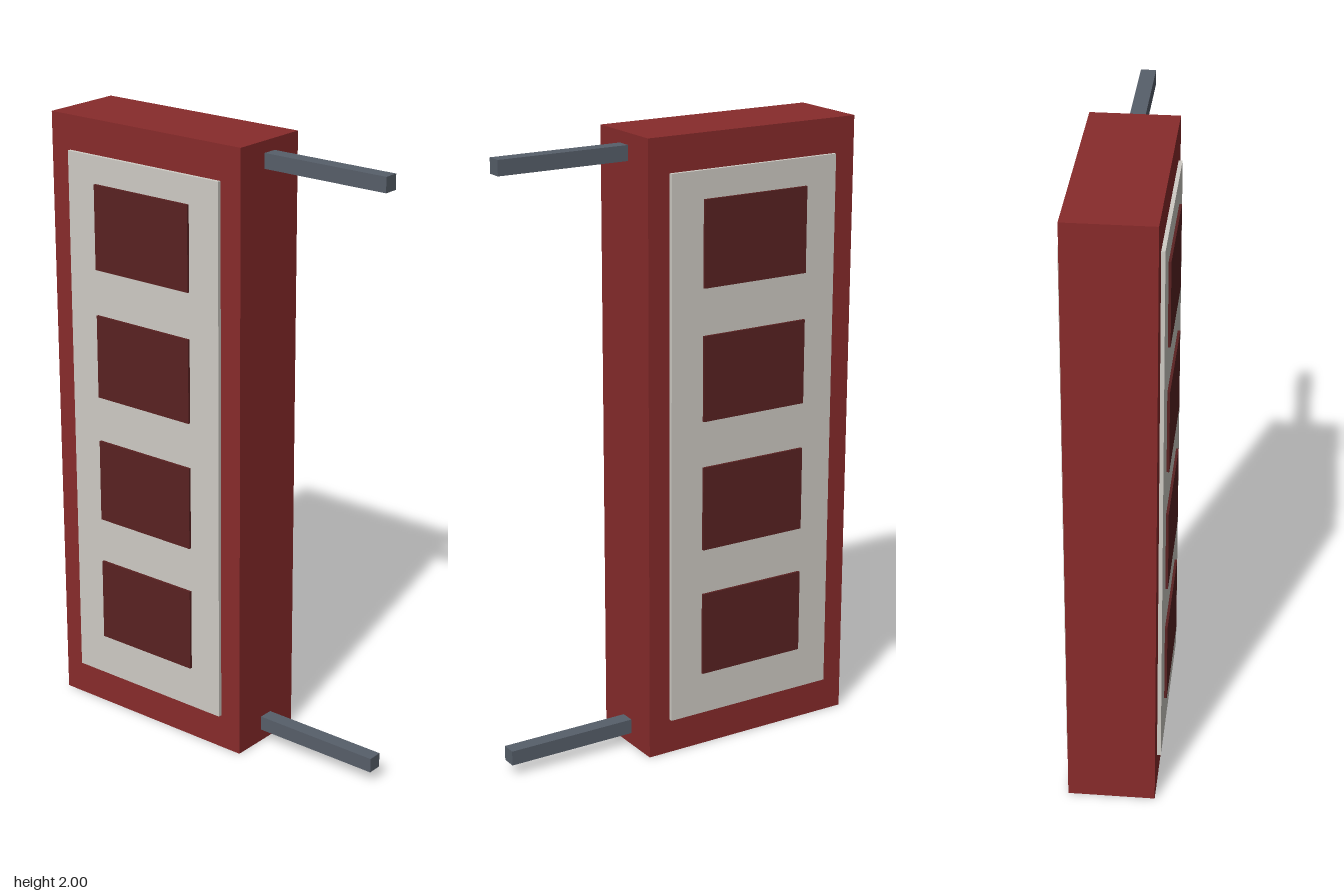
import * as THREE from 'three';

const red = new THREE.MeshStandardMaterial({ name: 'signRed', color: 0x882b2b });
const cream = new THREE.MeshStandardMaterial({ name: 'panelCream', color: 0xcfccc5 });
const maroon = new THREE.MeshStandardMaterial({ name: 'blockMaroon', color: 0x5a2222 });
const steel = new THREE.MeshStandardMaterial({ name: 'bracketSteel', color: 0x575f6a });

export function createModel() {
  const model = new THREE.Group();
  model.name = 'hangingSign';

  // Box given by its minimum and maximum corners
  const box = (name, material, [x0, y0, z0], [x1, y1, z1]) => {
    const mesh = new THREE.Mesh(new THREE.BoxGeometry(x1 - x0, y1 - y0, z1 - z0), material);
    mesh.position.set((x0 + x1) / 2, (y0 + y1) / 2, (z0 + z1) / 2);
    mesh.name = name;
    model.add(mesh);
  };

  // Tall sign case
  const half = 0.137;
  box('signCase', red, [-half, 0, -0.593], [half, 2, 0.156]);

  // Raised face panel with four blocks on each side
  for (const [label, side] of [['left', 1], ['right', -1]]) {
    const plate = (name, material, inner, outer, y0, y1, z0, z1) => {
      const xs = [side * inner, side * outer].sort((a, b) => a - b);
      box(label + name, material, [xs[0], y0, z0], [xs[1], y1, z1]);
    };
    plate('Panel', cream, half, 0.149, 0.115, 1.889, -0.518, 0.081);
    for (let i = 0; i < 4; i++) {
      const y = 0.392 + i * 0.424;
      plate('Block' + (i + 1), maroon, 0.149, 0.157, y - 0.137, y + 0.137, -0.406, -0.032);
    }
  }

  // Square wall brackets at bottom and top
  for (const [name, y] of [['lowerBracket', 0.064], ['upperBracket', 1.939]]) {
    box(name, steel, [-0.024, y - 0.024, 0.156], [0.024, y + 0.024, 0.593]);
  }

  return model;
}
